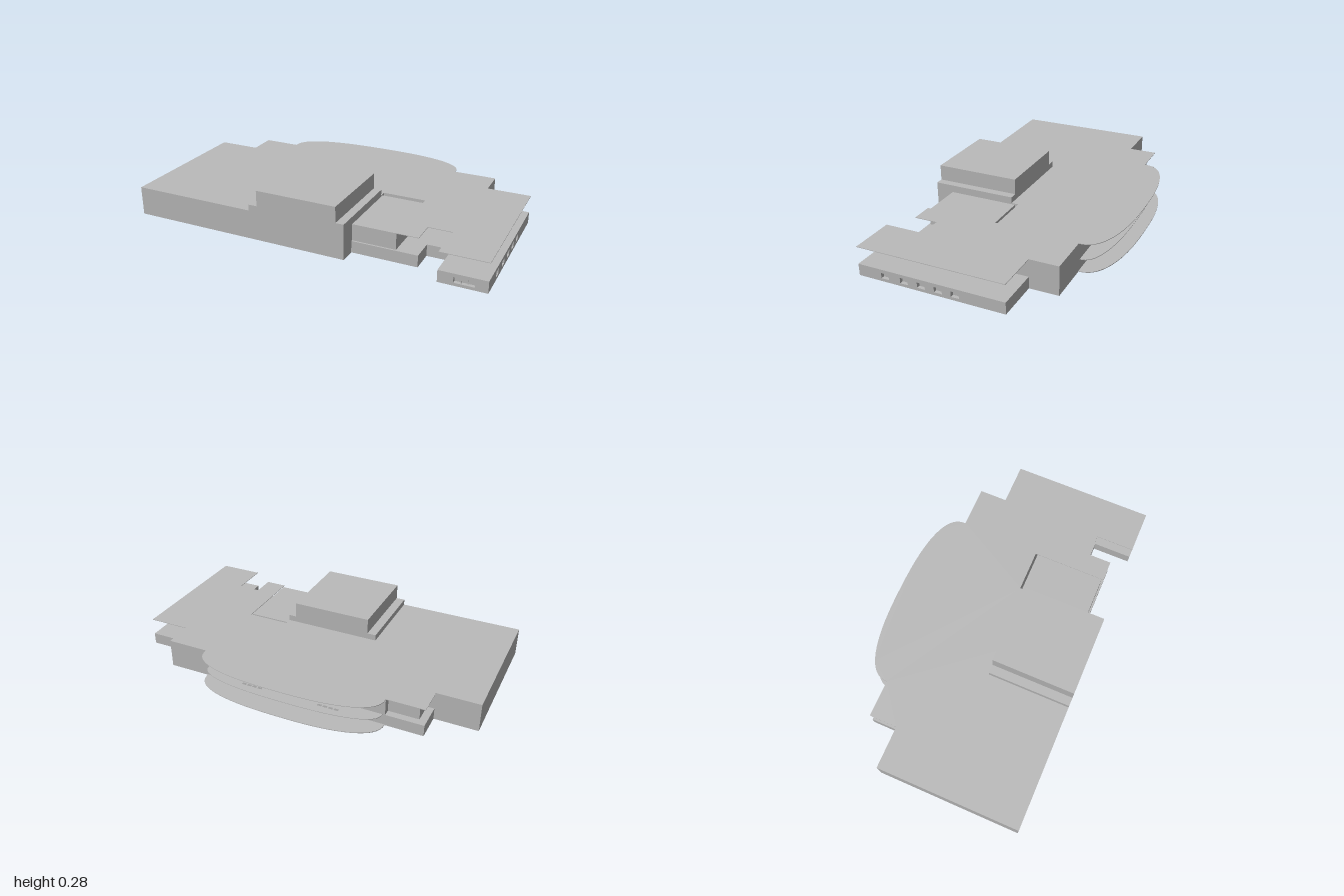
import * as THREE from 'three';

export function createModel() {
  const model = new THREE.Group();
  const grey = new THREE.MeshStandardMaterial({ color: 0xbababa });
  grey.name = 'plain grey';

  const add = (name, geometry) => {
    const mesh = new THREE.Mesh(geometry, grey);
    mesh.name = name;
    model.add(mesh);
    return mesh;
  };
  const toShape = (points) => new THREE.Shape(points.map(([x, z]) => new THREE.Vector2(x, -z)));

  // Plan outline in (x, z), raised from y0 to y1
  const slab = (name, points, y0, y1, holes = []) => {
    const shape = toShape(points);
    shape.holes = holes.map(toShape);
    const geometry = new THREE.ExtrudeGeometry(shape, { depth: y1 - y0, bevelEnabled: false });
    geometry.rotateX(-Math.PI / 2).translate(0, y0, 0);
    return add(name, geometry);
  };
  const rect = (x0, x1, z0, z1) => [[x0, z0], [x1, z0], [x1, z1], [x0, z1]];

  // Bulging rear edge, a squarish half ellipse
  const bulge = (rx, depth) => {
    const points = [];
    for (let i = 0; i <= 40; i++) {
      const a = Math.PI * (1 - i / 40);
      const c = Math.cos(a);
      points.push([-0.015 + rx * Math.sign(c) * Math.abs(c) ** 0.8,
        -0.405 - depth * Math.max(0, Math.sin(a)) ** 0.8]);
    }
    return points;
  };

  const leftSide = [[-1, 0.575], [-1, -0.245], [-0.76, -0.245], [-0.76, -0.405]];
  const rightRear = [[0.76, -0.405], [0.76, -0.245], [1, -0.245], [1, 0.575]];
  const notch = [[0.75, 0.575], [0.75, 0.355], [0.62, 0.355], [0.62, 0.485]];
  const frontStep = [[0.26, 0.485], [0.26, 0.575]];

  // Floor plate with the bulge
  slab('basePlate', [...leftSide, ...bulge(0.535, 0.175), ...rightRear, ...notch, ...frontStep], 0, 0.004);

  // Ground storey, set in behind the pierced walls of the right wing
  const inset = 0.02;
  slab('groundStorey', [...leftSide, [0.76, -0.405], [0.76, -0.245], [1 - inset, -0.245],
    [1 - inset, 0.575 - inset], [0.75, 0.575 - inset], ...notch.slice(1), ...frontStep], 0.004, 0.065);

  // Pierced wall: local x is along the wall, windows are [from, to]
  const windowWall = (name, length, windows) => {
    const shape = new THREE.Shape();
    shape.moveTo(0, 0.004).lineTo(length, 0.004).lineTo(length, 0.065).lineTo(0, 0.065);
    for (const [a, b] of windows) {
      const hole = new THREE.Path();
      hole.moveTo(a, 0.016).lineTo(a, 0.046).lineTo(b, 0.046).lineTo(b, 0.016);
      shape.holes.push(hole);
    }
    return add(name, new THREE.ExtrudeGeometry(shape, { depth: inset, bevelEnabled: false }));
  };
  const sideWindows = [0.42, 0.31, 0.213, 0.118, 0.025].map((z) => [0.575 - z - 0.022, 0.575 - z + 0.022]);
  const sideWall = windowWall('sideWindowWall', 0.82, sideWindows);
  sideWall.rotation.y = Math.PI / 2;
  sideWall.position.set(1 - inset, 0, 0.575);
  const frontWall = windowWall('frontWindowWall', 0.25 - inset, [[0.08, 0.185]]);
  frontWall.position.set(0.75, 0, 0.575 - inset);

  // Window bars in the front opening
  for (const x of [0.865, 0.9]) {
    const bar = add('windowBar', new THREE.BoxGeometry(0.003, 0.03, 0.003));
    bar.position.set(x, 0.031, 0.565);
  }

  // Upper storey, stepped back on the right and at the rear left corner
  slab('upperStorey', [[-1, 0.575], [-1, -0.245], [-0.72, -0.245], [-0.72, -0.365], [-0.55, -0.365],
    [-0.55, -0.405], [0.76, -0.405], [0.76, -0.07], [0.555, -0.07], [0.555, 0.06], [0.26, 0.06],
    [0.26, 0.575]], 0.065, 0.16);
  slab('frontRoom', rect(0.26, 0.5, 0.08, 0.475), 0.065, 0.156);

  // Rear balcony with two rows of slots
  const slots = [];
  for (const centre of [0.19, -0.26])
    for (let i = 0; i < 4; i++) {
      const x = centre + (i - 1.5) * 0.032;
      slots.push(rect(x - 0.012, x + 0.012, -0.485, -0.465));
    }
  slab('rearBalcony', bulge(0.52, 0.127), 0.062, 0.065, slots);

  // Thin roof, open above the front room
  slab('roof', [...leftSide, ...bulge(0.535, 0.175), ...rightRear, ...notch,
    [0.5, 0.485], [0.5, 0.06], [0.26, 0.06], [0.26, 0.575]], 0.16, 0.163);

  // Two-tier roof block
  slab('roofBlockBase', rect(-0.29, 0.26, 0.1, 0.575), 0.163, 0.197);
  slab('roofBlockTop', rect(-0.24, 0.215, 0.1, 0.575), 0.197, 0.285);

  return model;
}
